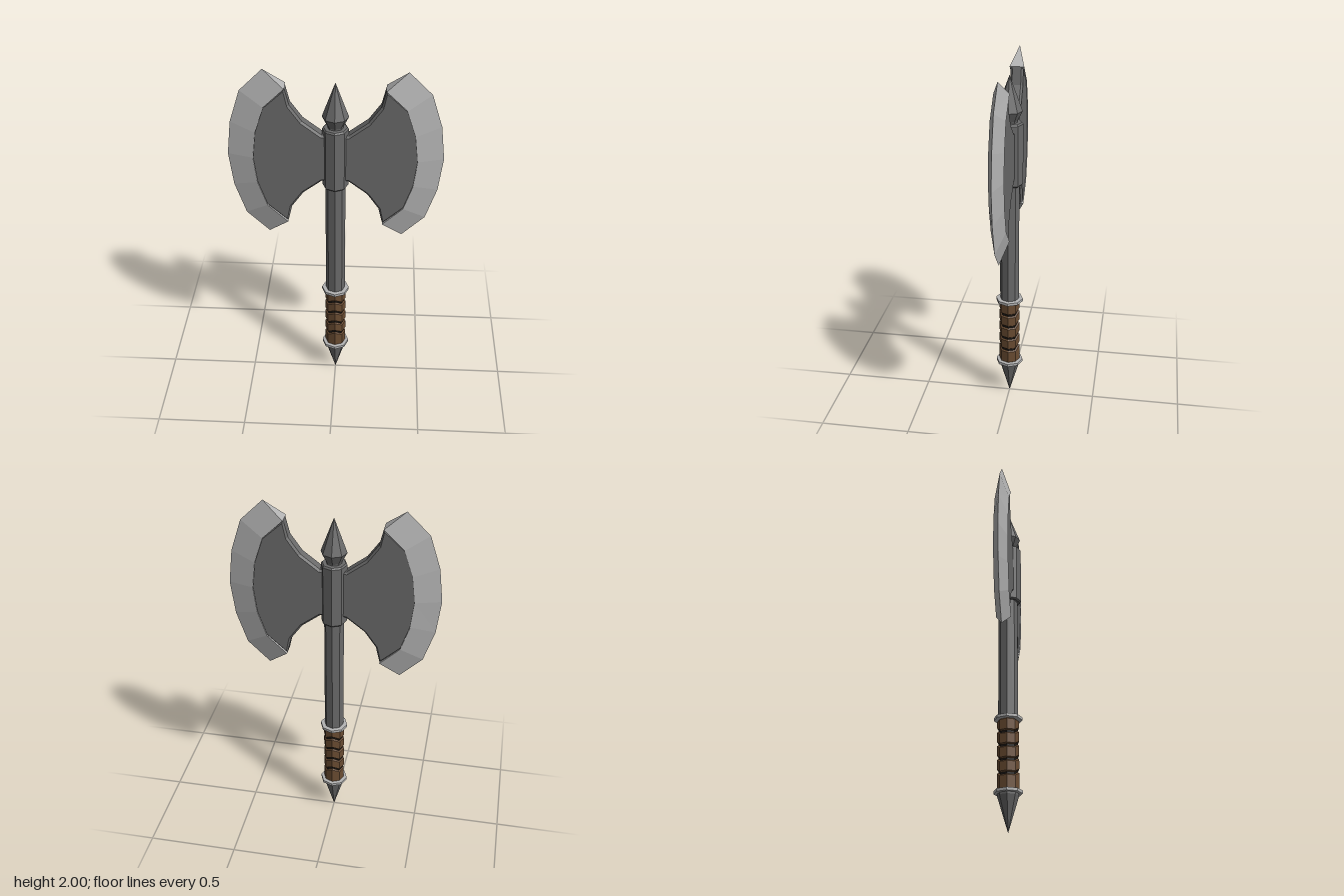
import * as THREE from 'three';

const steel = (color) => new THREE.MeshStandardMaterial({ color, flatShading: true });
const DARK = steel(0x6a6a6a), LIGHT = steel(0xb4b4b4), LEATHER = steel(0x6a4c32), GROOVE = steel(0x1c1814);

// Eight-sided turned part from [radius, height] pairs, bottom to top
function turned(name, profile, material) {
  const points = profile.map(([r, y]) => new THREE.Vector2(r, y));
  const mesh = new THREE.Mesh(new THREE.LatheGeometry(points, 8), material);
  mesh.name = name;
  return mesh;
}

// Blade outlines, upper half only; mirrored about the blade's middle height
const MID = 1.51;
const mirrored = (half) => [
  ...half,
  ...half.filter(([, y]) => y > MID).reverse().map(([x, y]) => [x, 2 * MID - y]),
];
const NECK = [[0.03, 1.645], [0.07, 1.648], [0.17, 1.725], [0.233, 1.815]];
const INNER = mirrored([[0.256, 1.91], [0.365, 1.805], [0.413, 1.66], [0.43, MID]]);
const OUTER = mirrored([[0.365, 2.0], [0.487, 1.88], [0.545, 1.7], [0.567, MID]]);

// Plate between the collar and the cutting edge, with chamfered rims
function bladePlate() {
  const lower = NECK.map(([x, y]) => [x, 2 * MID - y]).reverse();
  const rim = INNER.map(([x, y], i) => [x + (i > 0 && i < INNER.length - 1 ? 0.01 : 0), y]);
  const outline = [...NECK, ...rim, ...lower].map(([x, y]) => new THREE.Vector2(x, y)).reverse();
  const bevel = 0.011, halfDepth = 0.035;
  const geometry = new THREE.ExtrudeGeometry(new THREE.Shape(outline), {
    depth: 2 * (halfDepth - bevel), bevelEnabled: true, bevelSegments: 1,
    bevelSize: bevel, bevelThickness: bevel, bevelOffset: -bevel,
  });
  geometry.translate(0, 0, bevel - halfDepth);
  const mesh = new THREE.Mesh(geometry, DARK);
  mesh.name = 'bladePlate';
  return mesh;
}

// Wedge-shaped cutting edge: a triangular section swept down the arc
function cuttingEdge() {
  const t = 0.04, positions = [];
  const face = (...p) => {
    for (let i = 1; i < p.length - 1; i++) positions.push(...p[0], ...p[i], ...p[i + 1]);
  };
  const section = (i) => [[...INNER[i], t], [...OUTER[i], 0], [...INNER[i], -t]];
  const last = INNER.length - 1;
  for (let i = 0; i < last; i++) {
    const [a, o, b] = section(i), [a2, o2, b2] = section(i + 1);
    face(a, a2, o2, o);
    face(b, o, o2, b2);
    face(a, b, b2, a2);
  }
  face(...section(0));
  face(...section(last).reverse());
  const geometry = new THREE.BufferGeometry();
  geometry.setAttribute('position', new THREE.Float32BufferAttribute(positions, 3));
  geometry.computeVertexNormals();
  const mesh = new THREE.Mesh(geometry, LIGHT);
  mesh.name = 'cuttingEdge';
  return mesh;
}

// Leather wraps separated by grooves that peak at the front and back
function grip() {
  const group = new THREE.Group();
  group.name = 'grip';
  const cuts = [0.215, 0.307, 0.383, 0.46, 0.537, 0.618];
  const gap = 0.004, bevel = 0.008, core = 0.049, r = 0.059;
  for (let i = 0; i < cuts.length - 1; i++) {
    const y0 = cuts[i] + gap, y1 = cuts[i + 1] - gap;
    const wrap = turned('gripWrap', [[core, y0], [r, y0 + bevel], [r, y1 - bevel], [core, y1]], LEATHER);
    const p = wrap.geometry.attributes.position;
    for (let k = 0; k < p.count; k++) {
      const y = p.getY(k), atEnd = y < 0.24 || y > 0.59;
      if (Math.abs(p.getX(k)) < 0.01 && !atEnd) p.setY(k, y + 0.022);
    }
    wrap.geometry.computeVertexNormals();
    group.add(wrap);
  }
  group.add(turned('gripCore', [[0.051, 0.22], [0.051, 0.615]], GROOVE));
  return group;
}

export function createModel() {
  const axe = new THREE.Group();
  axe.name = 'doubleAxe';

  // Handle, from the bottom spike to the top spike
  axe.add(turned('pommelSpike', [[0, 0], [0.058, 0.195], [0.058, 0.215]], DARK));
  axe.add(grip());
  for (const y of [0.215, 0.622]) {
    axe.add(turned('gripRing',
      [[0.04, y - 0.01], [0.077, y - 0.008], [0.077, y + 0.008], [0.04, y + 0.01]], LIGHT));
  }
  axe.add(turned('shaft', [[0.054, 0.62], [0.054, 1.345]], DARK));
  const collar = turned('collar',
    [[0, 1.33], [0.066, 1.33], [0.074, 1.338], [0.074, 1.675], [0.066, 1.683], [0, 1.683]], DARK);
  collar.scale.x = 0.94;
  axe.add(collar);
  axe.add(turned('topSpike', [[0.042, 1.67], [0.042, 1.69], [0.07, 1.745], [0, 1.935]], DARK));

  // Twin blades
  for (const [name, turn] of [['leftBlade', 0], ['rightBlade', Math.PI]]) {
    const blade = new THREE.Group();
    blade.name = name;
    blade.add(bladePlate(), cuttingEdge());
    blade.rotation.y = turn;
    axe.add(blade);
  }
  return axe;
}
